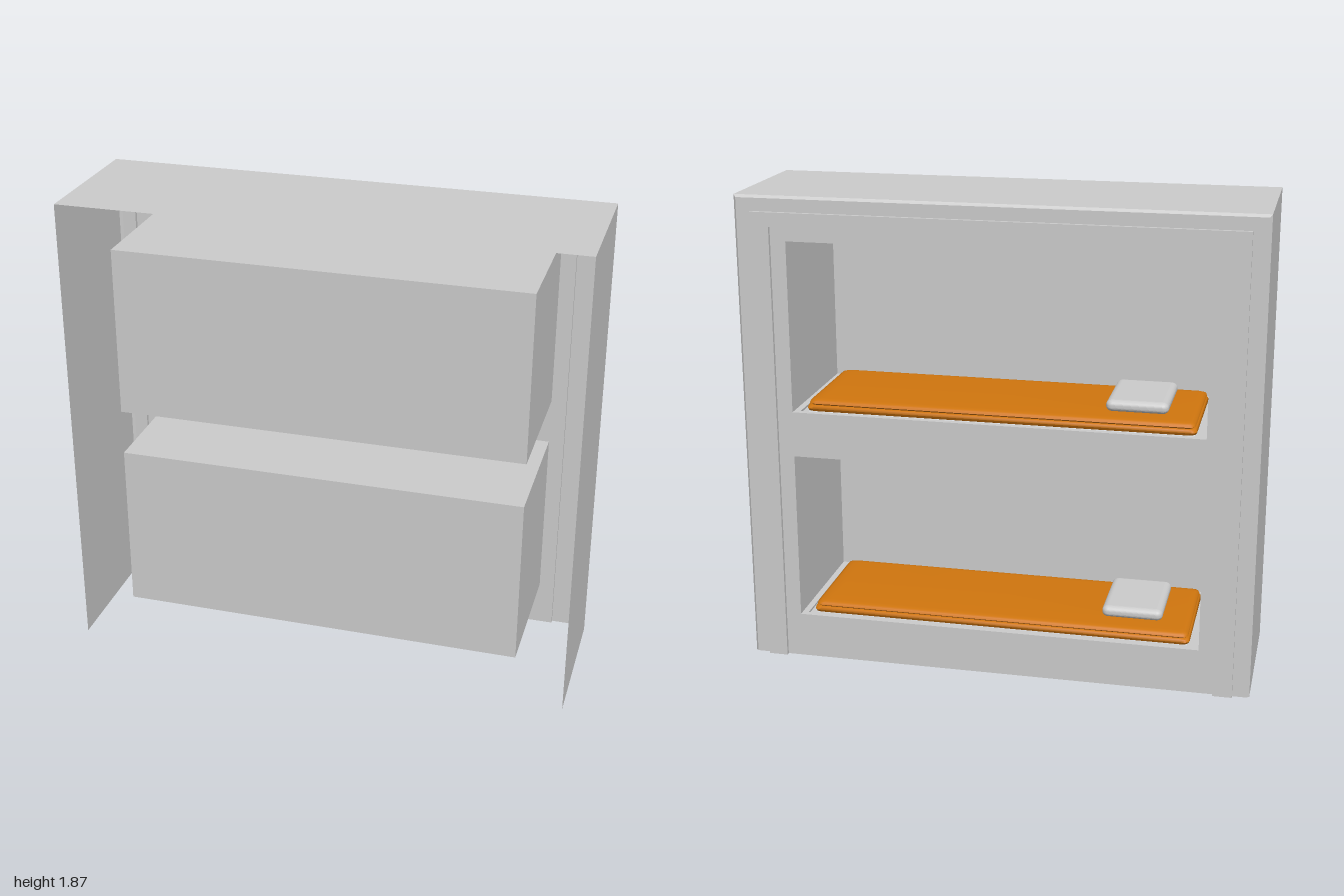
import * as THREE from 'three';
import { toCreasedNormals } from 'three/addons/utils/BufferGeometryUtils.js';
import { RoundedBoxGeometry } from 'three/addons/geometries/RoundedBoxGeometry.js';

const W = 0.8, H = 0.67, FACE = -0.29, BACK = 0.27;
const MID = (FACE + BACK) / 2, HALF = (BACK - FACE) / 2;
const grey = new THREE.MeshStandardMaterial({ color: 0xcccccc, side: THREE.DoubleSide });
const orange = new THREE.MeshStandardMaterial({ color: 0xcf750e, side: THREE.DoubleSide });

function part(name, geometry, material = grey) {
  const mesh = new THREE.Mesh(geometry, material);
  mesh.name = name;
  return mesh;
}

// Skin a list of equal-length contours; optionally close each one and cap the last
function loft(contours, { closed = false, cap = false, crease = 0.2 } = {}) {
  const n = contours[0].length, pos = contours.flat(2), index = [];
  for (let r = 0; r < contours.length - 1; r++) {
    for (let i = 0; i < (closed ? n : n - 1); i++) {
      const a = r * n + i, b = r * n + (i + 1) % n;
      index.push(a, b, b + n, a, b + n, a + n);
    }
  }
  if (cap) {
    const last = (contours.length - 1) * n;
    for (let i = 1; i < n - 1; i++) index.push(last, last + i, last + i + 1);
  }
  const g = new THREE.BufferGeometry();
  g.setAttribute('position', new THREE.Float32BufferAttribute(pos, 3));
  g.setIndex(index);
  return toCreasedNormals(g, crease);
}

// Upside-down U outline in the xy plane
const arch = ([w, h, z]) => [[w, 0, z], [w, h, z], [-w, h, z], [-w, 0, z]];

// Horizontal rounded rectangle, counter-clockwise from above
function roundRect(hx, hz, y, r) {
  const pts = [], steps = 4;
  [[1, 1], [1, -1], [-1, -1], [-1, 1]].forEach(([sx, sz], q) => {
    for (let i = 0; i <= steps; i++) {
      const a = Math.PI / 2 - (q + i / steps) * Math.PI / 2;
      pts.push([sx * (hx - r) + r * Math.cos(a), y, MID + sz * (hz - r) + r * Math.sin(a)]);
    }
  });
  return pts;
}

// Re-order the quarter arcs so they run smoothly round the outline
function ring(hx, hz, y, r) {
  return roundRect(hx, hz, y, r);
}

function rectangle(hw, y0, y1) {
  return new THREE.Path([[-hw, y0], [hw, y0], [hw, y1], [-hw, y1]].map(p => new THREE.Vector2(...p)));
}

function makeBunk(y) {
  const bunk = new THREE.Group();
  bunk.name = 'bunk';
  bunk.position.y = y;

  // Niche: side walls, ceiling and rear wall as thin sheets
  const outline = z => [[W, 0, z], [W, H, z], [-W, H, z], [-W, 0, z]];
  bunk.add(part('nicheWalls', loft([outline(FACE), outline(BACK)])));
  const rear = new THREE.PlaneGeometry(2 * W, H);
  rear.translate(0, H / 2, BACK);
  bunk.add(part('nicheRearWall', rear));

  // Floor rim stepping down to the mattress
  const rim = [[0, 0], [0.025, 0], [0.025, -0.008], [0.05, -0.008]];
  bunk.add(part('floorRim', loft(
    rim.map(([d, h]) => ring(W - d, HALF - d, h, 0.001)), { closed: true })));

  // Mattress with a piped groove around its side, open underneath
  const side = [[0.058, -0.008], [0.045, -0.003], [0.041, 0.006], [0.045, 0.016],
    [0.055, 0.019], [0.048, 0.025], [0.051, 0.033], [0.062, 0.038], [0.08, 0.04]];
  bunk.add(part('mattress', loft(
    side.map(([d, h]) => ring(W - d, HALF - d, h, 0.025)),
    { closed: true, cap: true, crease: 0.9 }), orange));

  // Pillow, plump in the middle and thinner towards the edges
  const pillow = new RoundedBoxGeometry(0.24, 0.055, 0.32, 5, 0.024);
  const p = pillow.attributes.position;
  for (let i = 0; i < p.count; i++) {
    const u = p.getX(i) / 0.12, v = p.getZ(i) / 0.16;
    p.setY(i, p.getY(i) * (1 - 0.12 * u * u - 0.12 * v * v));
  }
  pillow.computeVertexNormals();
  pillow.translate(-0.52, 0.06, 0.01);
  bunk.add(part('pillow', pillow));
  return bunk;
}

export function createModel() {
  const model = new THREE.Group();
  model.name = 'builtInBunkBed';

  // Outer sides and top, bevelled edge and raised moulding in one sweep
  const profile = [[1, 1.87, 0.305], [1, 1.87, -0.28], [0.99, 1.86, -0.29], [0.935, 1.81, -0.29],
    [0.935, 1.81, -0.305], [0.86, 1.755, -0.305], [0.86, 1.755, FACE]];
  model.add(part('cabinetShell', loft(profile.map(arch))));

  // Face panel with two openings
  const bunkHeights = [0.18, 1.03];
  const panel = new THREE.Shape([[-0.86, 0], [0.86, 0], [0.86, 1.755], [-0.86, 1.755]]
    .map(q => new THREE.Vector2(...q)));
  bunkHeights.forEach(y => panel.holes.push(rectangle(W, y, y + H)));
  const face = new THREE.ShapeGeometry(panel);
  face.rotateY(Math.PI);
  face.translate(0, 0, FACE);
  model.add(part('facePanel', face));

  bunkHeights.forEach(y => model.add(makeBunk(y)));
  return model;
}
